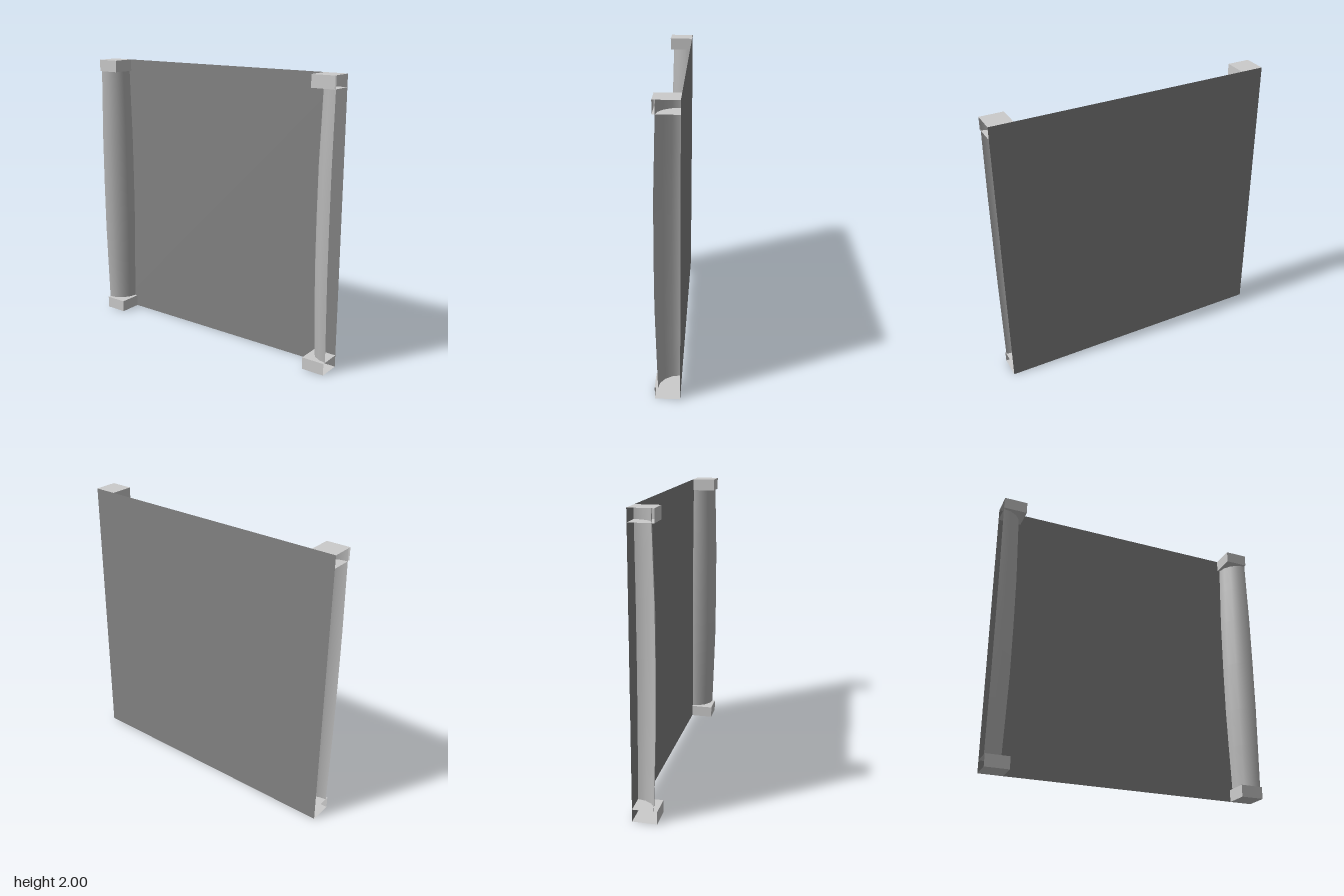
import * as THREE from 'three';

const BACK = -0.0825, SIZE = 0.165, BLOCK_H = 0.085;

const mat = (name, color) =>
  new THREE.MeshStandardMaterial({ name, color, side: THREE.DoubleSide });

export function createModel() {
  const root = new THREE.Group();
  root.name = 'wallPanelWithColumns';
  const panelGrey = mat('dark grey panel', 0x848484);
  const columnGrey = mat('mid grey column', 0xb8b8b8);
  const blockGrey = mat('light grey block', 0xcccccc);

  const add = (parent, name, geometry, material) => {
    const mesh = new THREE.Mesh(geometry, material);
    mesh.name = name;
    parent.add(mesh);
    return mesh;
  };

  // thin backing wall
  add(root, 'backPanel', new THREE.PlaneGeometry(2, 2), panelGrey).position.set(0, 1, BACK);

  // swelling quarter-column profile: radius, height
  const profile = [
    [0.143, BLOCK_H], [0.153, 0.4], [0.161, 0.68], [0.163, 1.05],
    [0.161, 1.42], [0.153, 1.7], [0.145, 2],
  ].map(([r, y]) => new THREE.Vector2(r, y));

  // block with open outer side and open back
  const openBlock = (parent, name, y) => {
    const block = new THREE.Group();
    block.name = name;
    block.position.y = y;
    parent.add(block);
    const face = (label, w, h, position, rx, ry) => {
      const m = add(block, label, new THREE.PlaneGeometry(w, h), blockGrey);
      m.position.set(...position);
      m.rotation.set(rx, ry, 0);
    };
    const c = SIZE / 2, h = BLOCK_H;
    face('blockFront', SIZE, h, [0, h / 2, c], 0, 0);
    face('blockTop', SIZE, SIZE, [0, h, 0], -Math.PI / 2, 0);
    face('blockBottom', SIZE, SIZE, [0, 0, 0], Math.PI / 2, 0);
    return { block, face };
  };

  for (const [side, s] of [['left', 1], ['right', -1]]) {
    const column = new THREE.Group();
    column.name = side + 'Column';
    root.add(column);

    // quarter shaft centred on the outer back corner
    const start = s > 0 ? -Math.PI / 2 : 0;
    add(column, side + 'Shaft', new THREE.LatheGeometry(profile, 4, start, Math.PI / 2), columnGrey)
      .position.set(s, 0, BACK);

    // base and capital
    for (const [name, y] of [['Base', 0], ['Capital', 2 - BLOCK_H]]) {
      const { block, face } = openBlock(column, side + name, y);
      block.position.x = s * (1 - SIZE / 2);
      face('blockInnerSide', SIZE, BLOCK_H, [-s * SIZE / 2, BLOCK_H / 2, 0], 0, -s * Math.PI / 2);
    }
  }
  return root;
}
